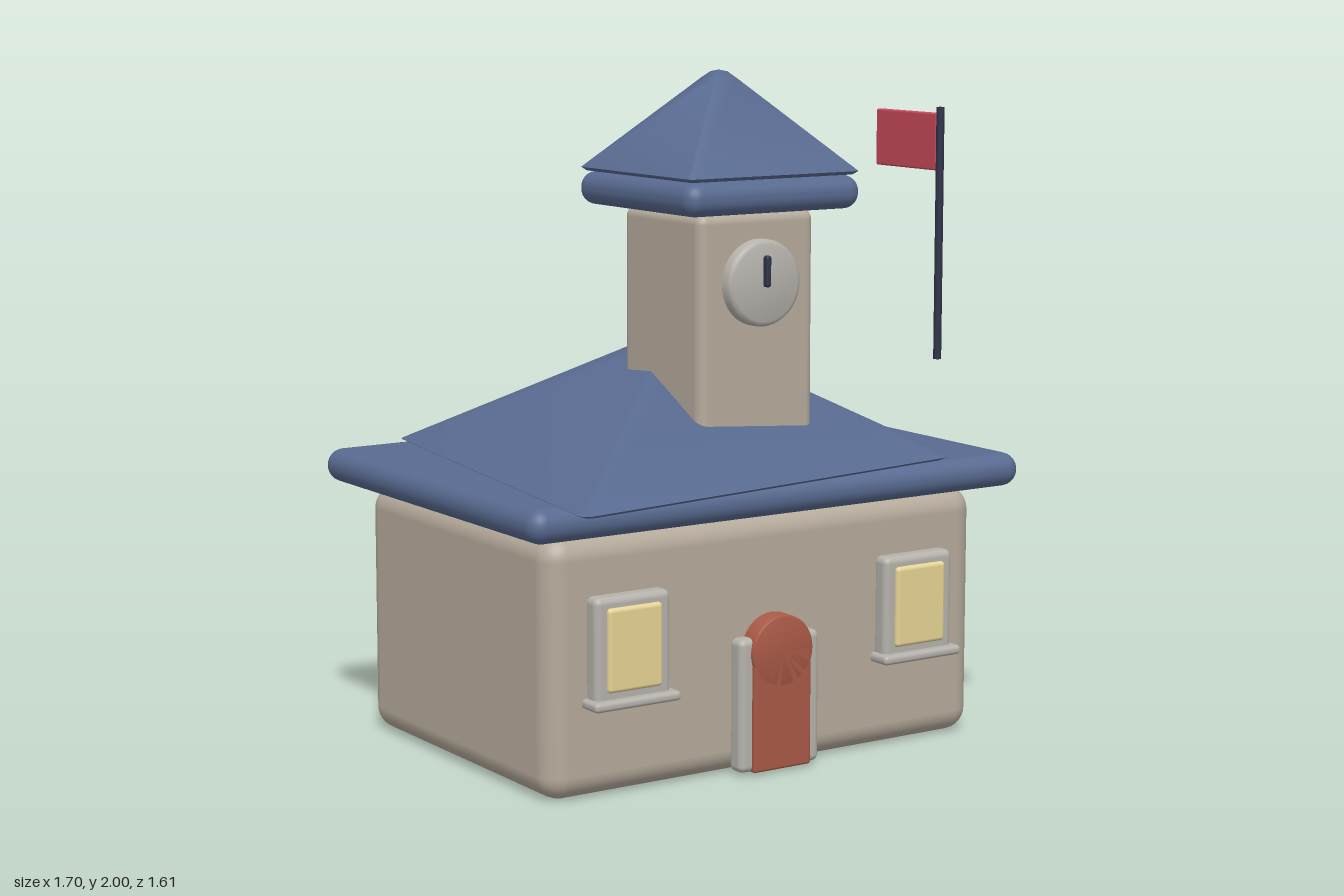
import * as THREE from 'three';
import { RoundedBoxGeometry } from 'three/addons/geometries/RoundedBoxGeometry.js';
import { toCreasedNormals } from 'three/addons/utils/BufferGeometryUtils.js';

const paint = (color) => new THREE.MeshStandardMaterial({ color });
const wall = paint(0xb5aa9b), slate = paint(0x586a90), trim = paint(0xb5b2ac);
const red = paint(0xa85845), glass = paint(0xe6d394), iron = paint(0x2e3348), cloth = paint(0xc84a5a);

function add(parent, name, geometry, material) {
  const mesh = new THREE.Mesh(geometry, material);
  mesh.name = name;
  parent.add(mesh);
  return mesh;
}

// Rounded box given by its extents on each axis
function box(parent, name, material, [x0, x1], [y0, y1], [z0, z1], r) {
  const geo = new RoundedBoxGeometry(x1 - x0, y1 - y0, z1 - z0, 4, r);
  geo.translate((x0 + x1) / 2, (y0 + y1) / 2, (z0 + z1) / 2);
  return add(parent, name, geo, material);
}

// Square pyramid with softened corners; profile is [half width, y] from bottom to top
function pyramid(profile, rounding) {
  const steps = 4, pos = [], index = [], n = 4 * (steps + 1);
  for (const [s, y] of profile) {
    for (let k = 0; k < 4; k++) {
      const mid = Math.PI / 4 + k * Math.PI / 2;
      const cx = Math.SQRT2 * Math.cos(mid) * (1 - rounding);
      const cz = Math.SQRT2 * Math.sin(mid) * (1 - rounding);
      for (let i = 0; i <= steps; i++) {
        const a = (k + i / steps) * Math.PI / 2;
        pos.push(s * (cx + rounding * Math.cos(a)), y, s * (cz + rounding * Math.sin(a)));
      }
    }
  }
  for (let i = 0; i < profile.length - 1; i++) {
    for (let j = 0; j < n; j++) {
      const a = i * n + j, b = i * n + (j + 1) % n;
      index.push(a, a + n, b, b, a + n, b + n);
    }
  }
  const geo = new THREE.BufferGeometry();
  geo.setAttribute('position', new THREE.Float32BufferAttribute(pos, 3));
  geo.setIndex(index);
  return geo;
}

// Disc facing +z with a softened front rim
function disc(r, depth, bevel) {
  const profile = [[0, 0], [r, 0], [r, depth - bevel], [r - bevel * 0.3, depth - bevel * 0.3],
    [r - bevel, depth], [0, depth]].map(([x, y]) => new THREE.Vector2(x, y));
  return toCreasedNormals(new THREE.LatheGeometry(profile, 40).rotateX(Math.PI / 2), 0.9);
}

export function createModel() {
  const model = new THREE.Group();
  model.name = 'townHall';

  // Main building
  box(model, 'walls', wall, [-0.75, 0.75], [0, 0.75], [-0.525, 0.525], 0.07);
  box(model, 'eaves', slate, [-0.85, 0.85], [0.755, 0.855], [-0.62, 0.62], 0.049);

  // Main roof: pyramid stretched along one diagonal
  const roof = pyramid([[0, 0.857], [0.585, 0.857], [0.6, 0.866], [0.045, 1.196], [0.022, 1.203], [0, 1.204]], 0.05);
  roof.rotateY(Math.PI / 4).scale(1.35, 1, 1).rotateY(Math.PI / 4);
  add(model, 'mainRoof', toCreasedNormals(roof, 0.9), slate);

  // Clock tower
  const tower = new THREE.Group();
  tower.name = 'clockTower';
  tower.position.z = 0.25;
  model.add(tower);
  box(tower, 'towerWalls', wall, [-0.2, 0.2], [0.85, 1.605], [-0.2, 0.2], 0.03);
  box(tower, 'towerEaves', slate, [-0.3, 0.3], [1.607, 1.703], [-0.3, 0.3], 0.045);
  const cap = pyramid([[0, 1.705], [0.28, 1.705], [0.292, 1.715], [0.036, 1.978], [0.018, 1.995], [0, 2]], 0.05);
  add(tower, 'towerRoof', toCreasedNormals(cap, 0.9), slate);
  add(tower, 'clockFace', disc(0.125, 0.06, 0.015), trim).position.set(0, 1.405, 0.18);
  box(tower, 'clockHand', iron, [-0.009, 0.009], [1.395, 1.485], [0.235, 0.257], 0.007);

  // Door with a round head set in a block surround
  const door = new THREE.Group();
  door.name = 'door';
  model.add(door);
  box(door, 'doorFrame', trim, [-0.14, 0.14], [0.008, 0.4], [0.51, 0.573], 0.02);
  box(door, 'doorPanel', red, [-0.1, 0.1], [0.008, 0.36], [0.515, 0.585], 0.008);
  add(door, 'doorArch', disc(0.105, 0.07, 0.005), red).position.set(0, 0.355, 0.515);

  // Windows
  for (const side of [-1, 1]) {
    const win = new THREE.Group();
    win.name = side > 0 ? 'leftWindow' : 'rightWindow';
    win.position.x = side * 0.5;
    model.add(win);
    box(win, 'windowFrame', trim, [-0.125, 0.125], [0.27, 0.58], [0.51, 0.573], 0.02);
    box(win, 'windowPane', glass, [-0.09, 0.09], [0.31, 0.55], [0.53, 0.585], 0.012);
    box(win, 'windowSill', trim, [-0.142, 0.142], [0.264, 0.292], [0.515, 0.6], 0.012);
  }

  // Flag on its pole
  const pole = new THREE.CylinderGeometry(0.012, 0.012, 0.75, 16);
  add(model, 'flagPole', pole, iron).position.set(0.672, 1.505, 0.427);
  box(model, 'flag', cloth, [0.662, 0.682], [1.692, 1.862], [0.128, 0.42], 0.006);

  return model;
}
